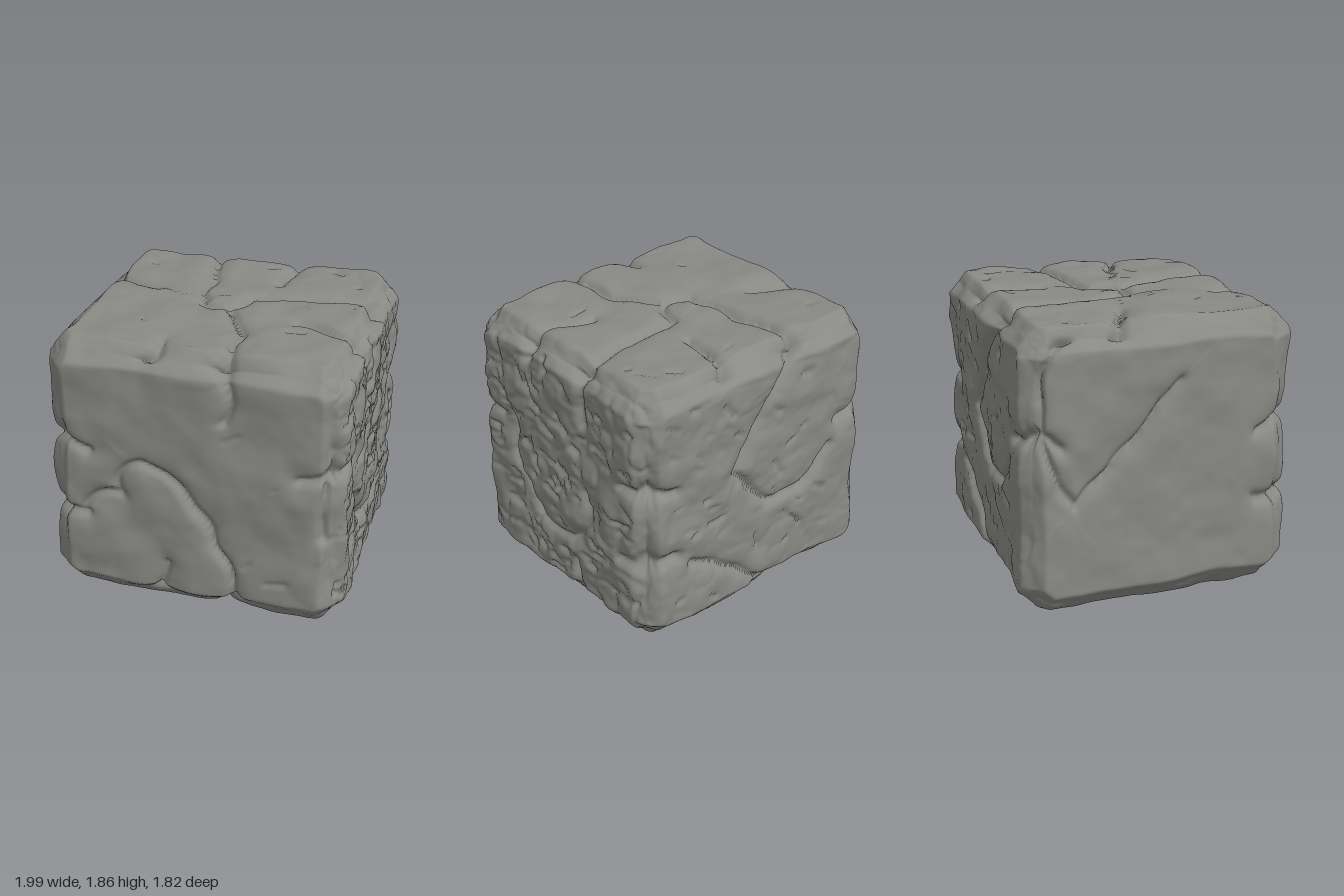
import * as THREE from 'three';
import { mergeVertices } from 'three/addons/utils/BufferGeometryUtils.js';

const LIMIT = new THREE.Vector3(0.998, 0.93, 0.913); // outermost half size
const H = LIMIT.clone().subScalar(0.019);            // half size before hewing
const CY = LIMIT.y;                                  // height of the centre
const BEVEL = 0.2;

// Places a 2D point on one side of the block
const side = {
  front: (x, y) => new THREE.Vector3(x, y - CY, H.z),
  back: (x, y) => new THREE.Vector3(x, y - CY, -H.z),
  right: (z, y) => new THREE.Vector3(H.x, y - CY, z),
  left: (z, y) => new THREE.Vector3(-H.x, y - CY, z),
  top: (x, z) => new THREE.Vector3(x, H.y, z),
  bottom: (x, z) => new THREE.Vector3(x, -H.y, z),
};

// Main cracks: from, to, and how far the path bows to its left
const CRACKS = {
  front: [[-0.72, 0.67, -0.47, 0.82, 0.15], [-0.47, 0.82, -0.32, 1.06, 0.2], [-0.32, 1.06, 0.27, 0, 0.16],
    [-0.23, 0, -0.18, 0.32], [0.2, 1.86, 0.21, 1.42, 0.12], [0.87, 0.7, 0.87, 1.1]],
  right: [[-0.1, 0.51, 0.5, 1.18, -0.25], [-0.28, 0.95, -0.1, 0.51, -0.15], [-0.23, 1.86, -0.28, 1.45],
    [-0.26, 0, -0.18, 0.34], [0.31, 1.86, 0.3, 1.7]],
  top: [[-0.3, -0.91, -0.2, 0.03], [-0.2, 0.03, 0.1, -0.13, 0.4], [0.1, -0.13, 1, -0.26], [0.3, -0.91, 0.21, -0.4],
    [-1, -0.28, -0.58, -0.15], [0.03, 0.12, 0.22, 0.91, -0.08], [1, 0.32, 0.5, 0.17], [-0.31, 0.91, -0.25, 0.67]],
  back: [[-0.3, 1.86, 0.22, 1.06], [0.22, 1.06, -0.63, 0.93, 0.35], [0.6, 0.55, -0.27, 0]],
  left: [[-0.62, 1.86, -0.6, 0.72, -0.2], [-0.6, 0.72, 0.1, 1.45]],
  bottom: [[0.27, 0.91, -0.27, -0.91], [1, -0.26, 0.05, 0.05]],
};

function seeded(seed) {
  return () => (seed = (seed * 16807) % 2147483647) / 2147483647;
}

// Smooth value noise, -1 to 1
function hash(x, y, z) {
  let h = Math.imul(x, 374761393) ^ Math.imul(y, 668265263) ^ Math.imul(z, 1274126177);
  h = Math.imul(h ^ (h >>> 13), 1103515245);
  return ((h ^ (h >>> 16)) >>> 0) / 2147483648 - 1;
}
function noise(p, f, o = 0) {
  const c = [p.x * f + o, p.y * f + o, p.z * f + o];
  const i = c.map(Math.floor);
  const t = c.map((v, k) => THREE.MathUtils.smoothstep(v - i[k], 0, 1));
  let sum = 0;
  for (let k = 0; k < 8; k++) {
    const b = [k & 1, (k >> 1) & 1, k >> 2];
    const w = b.reduce((a, s, j) => a * (s ? t[j] : 1 - t[j]), 1);
    sum += w * hash(i[0] + b[0], i[1] + b[1], i[2] + b[2]);
  }
  return sum;
}

function makeCracks() {
  const list = [];
  const add = (name, [u0, v0, u1, v1, bow = 0], depth, width, chip = false) => {
    const du = u1 - u0, dv = v1 - v0, count = bow ? 8 : 1, pts = [];
    for (let i = 0; i <= count; i++) {
      const t = i / count, b = 4 * bow * t * (1 - t);
      pts.push(side[name](u0 + du * t - dv * b, v0 + dv * t + du * b));
    }
    // One bank of a long crack stands a little higher
    const step = Math.hypot(du, dv) > 0.4 ? 0.011 : 0;
    const box = new THREE.Box3().setFromPoints(pts).expandByScalar(0.45);
    list.push({ pts, depth, width, step, chip, box });
  };
  for (const name in CRACKS) CRACKS[name].forEach((c) => add(name, c, 0.045, 0.025));

  // Notches that wrap round the upright corners
  for (const sx of [1, -1]) for (const sz of [1, -1]) {
    for (const y of sx === sz ? [1.2] : [1.2, 0.63]) {
      const drop = y > 1 ? 0.09 : 0;
      add(sz > 0 ? 'front' : 'back', [sx, y, sx * 0.7, y - drop], 0.05, 0.027);
      add(sx > 0 ? 'right' : 'left', [sz * H.z, y, sz * 0.64, y - drop], 0.05, 0.027);
    }
  }

  // Small scattered chips
  const rnd = seeded(4711);
  const chips = (name, count, depth) => {
    for (let k = 0; k < count; k++) {
      const u = (rnd() - 0.5) * 1.6, v = (rnd() - 0.5) * 1.5 + (name === 'top' ? 0 : CY);
      const a = rnd() * 1.6 - 0.3, l = 0.02 + rnd() * 0.12;
      add(name, [u, v, u + l * Math.cos(a), v + l * Math.sin(a)], depth * (0.5 + rnd()), 0.013 + rnd() * 0.01, true);
    }
  };
  chips('right', 140, 0.024);
  chips('back', 45, 0.018);
  chips('top', 12, 0.014);
  chips('front', 4, 0.014);
  return list;
}

// Height change made by all cracks at a point p of the block
function crackHeight(p, dir, edge, cracks) {
  let cut = 0, step = 0;
  const ab = new THREE.Vector3(), ap = new THREE.Vector3();
  for (const c of cracks) {
    if (!c.box.containsPoint(p)) continue;
    let best = Infinity, sign = 1;
    for (let i = 0; i + 1 < c.pts.length; i++) {
      ab.subVectors(c.pts[i + 1], c.pts[i]);
      ap.subVectors(p, c.pts[i]);
      const t = THREE.MathUtils.clamp(ap.dot(ab) / ab.lengthSq(), 0, 1);
      const d = ap.addScaledVector(ab, -t).length();
      if (d < best) { best = d; sign = Math.sign(ab.cross(dir).dot(ap)); }
    }
    const w = c.width * (1 + edge);
    const wide = c.chip ? 0 : 0.4 * Math.exp(-((best / (w * 3.2)) ** 2));
    cut = Math.max(cut, c.depth * (1 + 0.6 * edge) * (0.8 * Math.exp(-((best / w) ** 2)) + wide));
    if (c.step) {
      const end = Math.min(p.distanceTo(c.pts[0]), p.distanceTo(c.pts[c.pts.length - 1]));
      step += c.step * sign * Math.exp(-best / 0.14) * THREE.MathUtils.smoothstep(end, 0, 0.25);
    }
  }
  return step - cut;
}

function rockGeometry() {
  const N = 110;
  let geo = new THREE.BoxGeometry(H.x * 2, H.y * 2, H.z * 2, N, N, N);
  geo.deleteAttribute('uv');
  geo.deleteAttribute('normal');
  geo = mergeVertices(geo, 1e-4);
  const pos = geo.attributes.position, cracks = makeCracks();
  const inner = H.clone().subScalar(BEVEL), innerLow = inner.clone().negate();
  const limitLow = LIMIT.clone().negate();
  const p = new THREE.Vector3(), q = new THREE.Vector3(), d = new THREE.Vector3();
  const dir = new THREE.Vector3(), bent = new THREE.Vector3();
  for (let i = 0; i < pos.count; i++) {
    p.fromBufferAttribute(pos, i);
    q.copy(p).clamp(innerLow, inner);
    d.subVectors(p, q);
    dir.copy(d).normalize();
    // Uneven chamfers along edges, broad cuts at the corners
    const a = d.toArray().map((v) => Math.abs(v) / BEVEL).sort((m, n) => n - m);
    const vary = 0.13 * noise(p, 2.7, 9);
    const k = Math.max(1, (a[0] + a[1]) / (1.32 + vary), (a[0] + a[1] + a[2]) / (1.45 + vary));
    // Gentle hollows everywhere, rough broken stone on the right and back
    const rough = Math.max(0, dir.x) + 0.45 * Math.max(0, -dir.z);
    let h = 0.016 * noise(p, 2.5) + 0.011 * noise(p, 5.5, 3) + 0.003 * noise(p, 13, 5);
    h += rough * (0.014 * noise(p, 8, 7) - 0.04 * Math.max(0, 0.3 - Math.abs(noise(p, 6, 11))) + 0.005 * noise(p, 20, 2));
    // Crack paths wander with the noise
    bent.set(noise(p, 5, 21), noise(p, 5, 33), noise(p, 5, 47)).multiplyScalar(0.045).add(p);
    bent.addScaledVector(dir, p.dot(dir) - bent.dot(dir));
    h += crackHeight(bent, dir, a[1], cracks);
    p.copy(q).addScaledVector(d, 1 / k).addScaledVector(dir, h).clamp(limitLow, LIMIT);
    pos.setXYZ(i, p.x, p.y + CY, p.z);
  }
  geo.computeVertexNormals();
  return geo;
}

export function createModel() {
  const stone = new THREE.MeshStandardMaterial({ color: 0x888884 });
  stone.name = 'grey stone';
  const block = new THREE.Mesh(rockGeometry(), stone);
  block.name = 'crackedStoneBlock';
  const group = new THREE.Group();
  group.name = 'stoneCube';
  group.add(block);
  return group;
}
